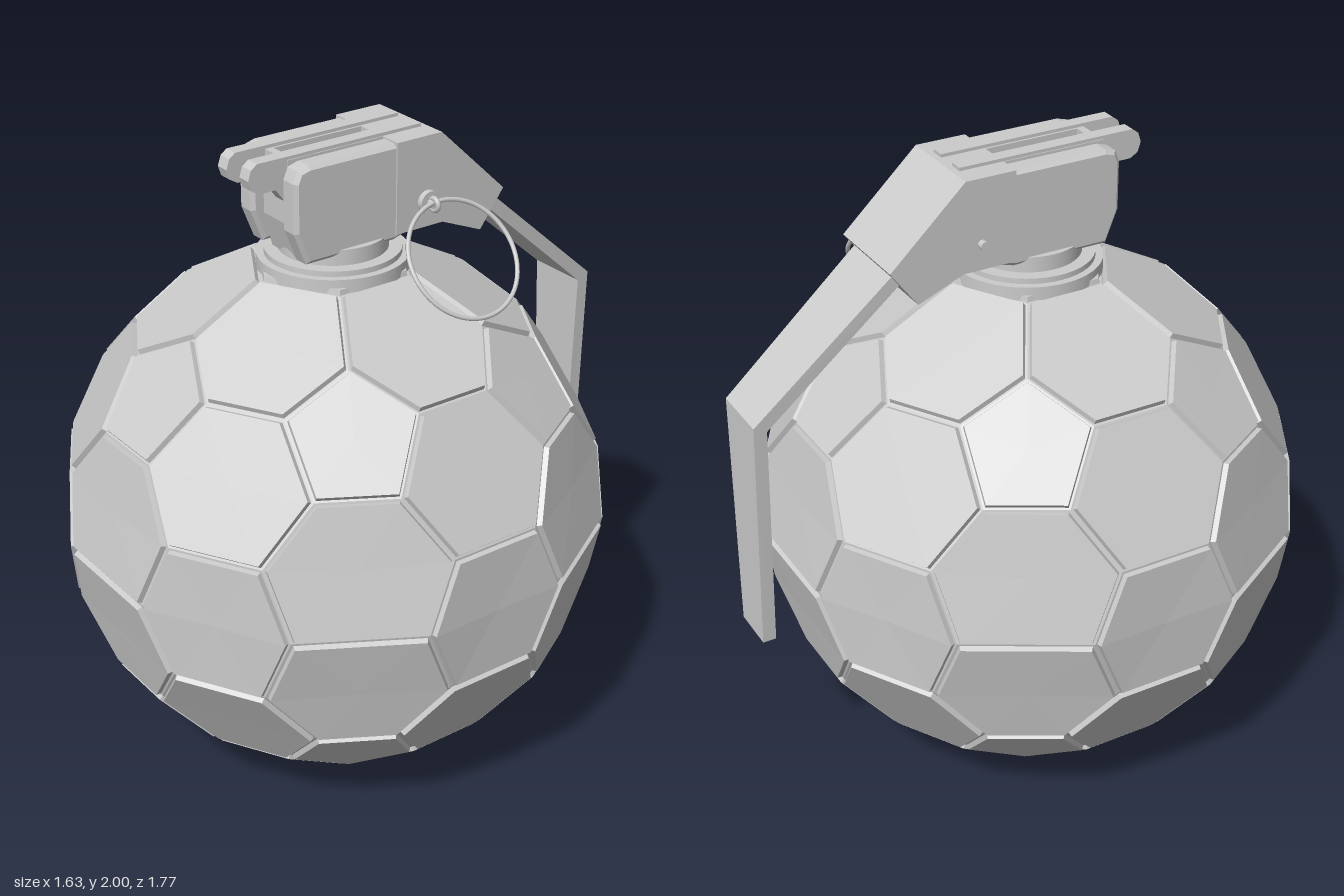
import * as THREE from 'three';

const material = new THREE.MeshStandardMaterial({ color: 0xcccccc, flatShading: true });
const smooth = new THREE.MeshStandardMaterial({ color: 0xcccccc });
const BODY = new THREE.Vector3(0, 0.81, 0.065);

// Vertex rings of the body: [radius, height above the body centre]
const RINGS = {
  A: [0.255, 0.81], B: [0.487, 0.688], C: [0.605, 0.585],
  D: [0.743, 0.405], E: [0.818, 0.218], F: [0.848, 0], G: [0.818, -0.218],
};

// Panel types: right-hand corners from top to bottom as [ring, degrees from the panel's middle]
const HEX_AXIS = [
  [['A', 30], ['B', 30], ['C', 11.7]],
  [['C', 11.7], ['D', 20.5], ['E', 10.5]],
];
const PENT_AXIS = [
  [['B', 0], ['C', 18.3], ['D', 9.5]],
  [['D', 9.5], ['E', 19.5], ['F', 13.6]],
];
const EQUATOR = [['E', 10.5], ['F', 16.4], ['G', 10.5]];

function corner(ring, degrees, sign) {
  const [r, h] = RINGS[ring];
  const a = THREE.MathUtils.degToRad(degrees);
  return new THREE.Vector3(r * Math.cos(a), h * sign, r * Math.sin(a));
}

function panelLoop(side, azimuth, sign) {
  const left = side.filter(([, d]) => d > 0).reverse();
  return [...side.map(([k, d]) => corner(k, azimuth + d, sign)),
    ...left.map(([k, d]) => corner(k, azimuth - d, sign))];
}

// Raised panel with sloped rim and half of the groove floor around it
function addPanel(out, loop) {
  const n = loop.length;
  const mid = loop.reduce((s, p) => s.add(p), new THREE.Vector3()).divideScalar(n);
  const normal = new THREE.Vector3().crossVectors(
    loop[1].clone().sub(loop[0]), loop[2].clone().sub(loop[0]));
  if (normal.dot(mid) < 0) loop.reverse();
  const size = loop[0].distanceTo(mid);
  const inset = (d, sink) => loop.map(p => p.clone().lerp(mid, d / size).multiplyScalar(1 - sink));
  const top = inset(0.016, 0), low = inset(0.008, 0.02), edge = inset(0, 0.02);
  for (let i = 0; i < n; i++) {
    const j = (i + 1) % n;
    out.push(mid, top[i], top[j]);
    out.push(top[i], low[i], low[j], top[i], low[j], top[j]);
    out.push(low[i], edge[i], edge[j], low[i], edge[j], low[j]);
  }
}

function bodyGeometry() {
  const points = [];
  for (const sign of [1, -1]) {
    addPanel(points, [0, 1, 2, 3, 4, 5].map(k => corner('A', 30 + 60 * k, sign)));
    for (let k = 0; k < 6; k++) {
      HEX_AXIS.forEach(s => addPanel(points, panelLoop(s, 60 * k, sign)));
      PENT_AXIS.forEach(s => addPanel(points, panelLoop(s, 60 * k + 30, sign)));
    }
  }
  for (let k = 0; k < 6; k++) addPanel(points, panelLoop(EQUATOR, 60 * k, 1));
  const g = new THREE.BufferGeometry().setFromPoints(points);
  g.computeVertexNormals();
  return g;
}

// Side profile of [z, y] points extruded from x0 to x1
function sideExtrude(profile, x0, x1, bevel = 0) {
  const shape = new THREE.Shape(profile.map(([z, y]) => new THREE.Vector2(z, y)));
  return new THREE.ExtrudeGeometry(shape, {
    depth: x1 - x0 - 2 * bevel, bevelEnabled: bevel > 0, bevelThickness: bevel,
    bevelSize: bevel, bevelOffset: -bevel, bevelSegments: 1,
  }).rotateY(-Math.PI / 2).translate(x1 - bevel, 0, 0);
}

// Strip swept through rectangular sections [z, y, half width, dz, dy to the inner side]
function stripGeometry(sections) {
  const pos = [], index = [];
  for (const [z, y, w, dz, dy] of sections)
    pos.push(-w, y, z, w, y, z, w, y + dy, z + dz, -w, y + dy, z + dz);
  for (let s = 0; s < sections.length - 1; s++)
    for (let i = 0; i < 4; i++) {
      const a = s * 4 + i, b = s * 4 + (i + 1) % 4;
      index.push(a, b, b + 4, a, b + 4, a + 4);
    }
  const e = (sections.length - 1) * 4;
  index.push(0, 2, 1, 0, 3, 2, e, e + 1, e + 2, e, e + 2, e + 3);
  const g = new THREE.BufferGeometry();
  g.setAttribute('position', new THREE.Float32BufferAttribute(pos, 3));
  g.setIndex(index);
  g.computeVertexNormals();
  return g;
}

export function createModel() {
  const model = new THREE.Group();
  const add = (name, geometry, mat = material) => {
    const mesh = new THREE.Mesh(geometry, mat);
    mesh.name = name;
    model.add(mesh);
    return mesh;
  };

  add('panelledBody', bodyGeometry()).position.copy(BODY);

  // Stepped neck
  for (const [r, y0, y1] of [[0.228, 1.6, 1.645], [0.205, 1.645, 1.662], [0.165, 1.66, 1.71]])
    add('neckRing', new THREE.CylinderGeometry(r, r, y1 - y0, 48)
      .translate(0, (y0 + y1) / 2, 0.06), smooth);

  // Housing: centre block, two cheeks and slotted top plate
  add('housingCore', sideExtrude([[0.22, 1.67], [0.25, 1.78], [0.25, 1.91], [-0.2, 1.91],
    [-0.2, 1.72], [-0.09, 1.67]], -0.08, 0.08));
  const cheek = [[0.25, 1.69], [0.29, 1.79], [0.29, 1.94], [0.275, 1.975], [0.24, 1.985],
    [-0.2, 1.985], [-0.2, 1.73], [-0.06, 1.69]];
  for (const s of [-1, 1])
    add('housingCheek', sideExtrude(cheek, s * 0.11 - 0.035, s * 0.11 + 0.035, 0.012));

  const plate = new THREE.Shape([[-0.08, -0.2], [0.08, -0.2], [0.08, 0.27], [-0.08, 0.27]]
    .map(p => new THREE.Vector2(...p)));
  plate.holes.push(new THREE.Path([[-0.026, -0.06], [-0.026, 0.245], [0.026, 0.245], [0.026, -0.06]]
    .map(p => new THREE.Vector2(...p))));
  add('slottedTopPlate', new THREE.ExtrudeGeometry(plate, { depth: 0.085, bevelEnabled: false })
    .rotateX(Math.PI / 2).translate(0, 1.99, 0));

  // Rounded prongs reaching forward
  const prong = [[-0.2, 2], [0.37, 2], [0.39, 1.985], [0.4, 1.955], [0.39, 1.925],
    [0.365, 1.91], [0.31, 1.91], [0.28, 1.87], [-0.2, 1.87]];
  for (const s of [-1, 1])
    add('topProng', sideExtrude(prong, s * 0.055 - 0.022, s * 0.055 + 0.022));

  // Lever: folded head and bent tapering strip
  add('leverHead', sideExtrude([[-0.06, 1.99], [-0.22, 1.99], [-0.46, 1.765], [-0.375, 1.65],
    [-0.23, 1.71], [-0.06, 1.71]], -0.15, 0.15));
  add('leverStrip', stripGeometry([
    [-0.4, 1.775, 0.12, 0.025, -0.03], [-0.875, 1.365, 0.1, 0.04, -0.02],
    [-0.888, 0.61, 0.075, 0.042, 0]]));

  // Safety pin with eyelet head and pull ring
  add('safetyPin', new THREE.CylinderGeometry(0.014, 0.014, 0.36, 16)
    .rotateZ(Math.PI / 2).translate(0.01, 1.79, -0.17), smooth);
  add('pinHead', new THREE.CylinderGeometry(0.035, 0.035, 0.018, 20)
    .rotateZ(Math.PI / 2).translate(0.16, 1.79, -0.17), smooth);
  add('pinEyelet', new THREE.TorusGeometry(0.018, 0.008, 8, 20)
    .translate(0.185, 1.79, -0.17), smooth);
  const ring = add('pullRing', new THREE.TorusGeometry(0.183, 0.007, 8, 64), smooth);
  ring.rotation.set(0, Math.PI / 2, 0.688, 'ZYX');
  ring.position.set(0.3, 1.655, -0.19);

  return model;
}
